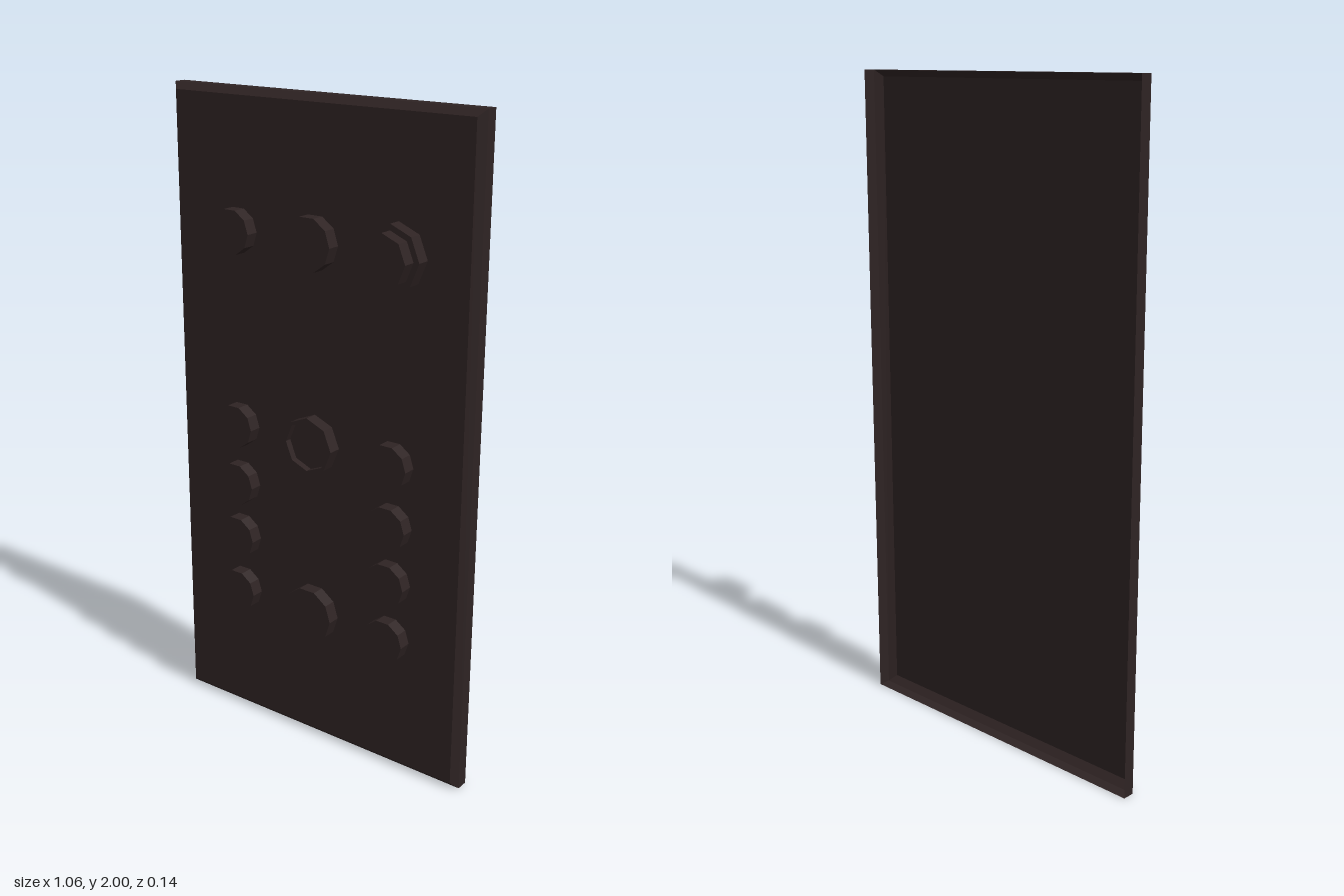
import * as THREE from 'three';

const FRONT = -0.013; // plane of the panel's front face

// Loft through rectangles [halfWidth, halfHeight, z], closed by a face at the last one
function makeShell(rects) {
  const rings = rects.map(([w, h, z]) =>
    [[-w, -h], [w, -h], [w, h], [-w, h]].map(([x, y]) => [x, y + 1, z]));
  const pos = [];
  const quad = (a, b, c, d) => pos.push(...a, ...b, ...c, ...a, ...c, ...d);
  for (let i = 0; i < rings.length - 1; i++) {
    for (let k = 0; k < 4; k++) {
      const n = (k + 1) % 4;
      quad(rings[i][k], rings[i][n], rings[i + 1][n], rings[i + 1][k]);
    }
  }
  quad(...rings[rings.length - 1]);
  const geo = new THREE.BufferGeometry();
  geo.setAttribute('position', new THREE.Float32BufferAttribute(pos, 3));
  geo.computeVertexNormals();
  return geo;
}

// Faceted turned shape from [radius, height] points, its axis facing forward
function makeTurned(profile, sides) {
  const geo = new THREE.LatheGeometry(
    profile.map(([r, h]) => new THREE.Vector2(r, h)), sides, Math.PI / 2).toNonIndexed();
  geo.rotateX(Math.PI / 2);
  geo.computeVertexNormals();
  return geo;
}

export function createModel() {
  const group = new THREE.Group();
  const darkBrown = new THREE.MeshStandardMaterial({ color: 0x2e2323, side: THREE.DoubleSide });
  darkBrown.name = 'darkBrown';

  const add = (name, geo, x = 0, y = 0, z = 0) => {
    const mesh = new THREE.Mesh(geo, darkBrown);
    mesh.name = name;
    mesh.position.set(x, y, z);
    group.add(mesh);
  };

  // Panel: open at the back, bevelled around the front
  add('panel', makeShell([[0.528, 1, -0.07], [0.528, 1, -0.033], [0.508, 0.98, FRONT]]));

  const H = 0.041; // button height above the panel
  const disc = (r, sides) => makeTurned([[r, 0], [r, H], [0, H]], sides);

  // Small buttons in two columns, plus one at the upper left
  const small = disc(0.068, 10);
  for (const y of [0.995, 0.805, 0.625, 0.44]) {
    for (const x of [-0.28, 0.28]) add('smallButton', small, x, y, FRONT);
  }
  add('smallButton', small, -0.28, 1.595, FRONT);

  // Centre column
  add('upperButton', disc(0.08, 10), 0, 1.595, FRONT);
  add('lowerButton', disc(0.088, 10), 0, 0.44, FRONT);
  add('recessedButton', makeTurned(
    [[0.088, 0], [0.088, H], [0.077, H], [0.077, 0.02], [0, 0.02]], 8), 0, 0.995, FRONT);

  // Stepped knob at the upper right
  add('steppedKnob', makeTurned(
    [[0.095, 0], [0.095, H], [0.077, H], [0.077, 0.081], [0, 0.081]], 8), 0.28, 1.595, FRONT);

  return group;
}
